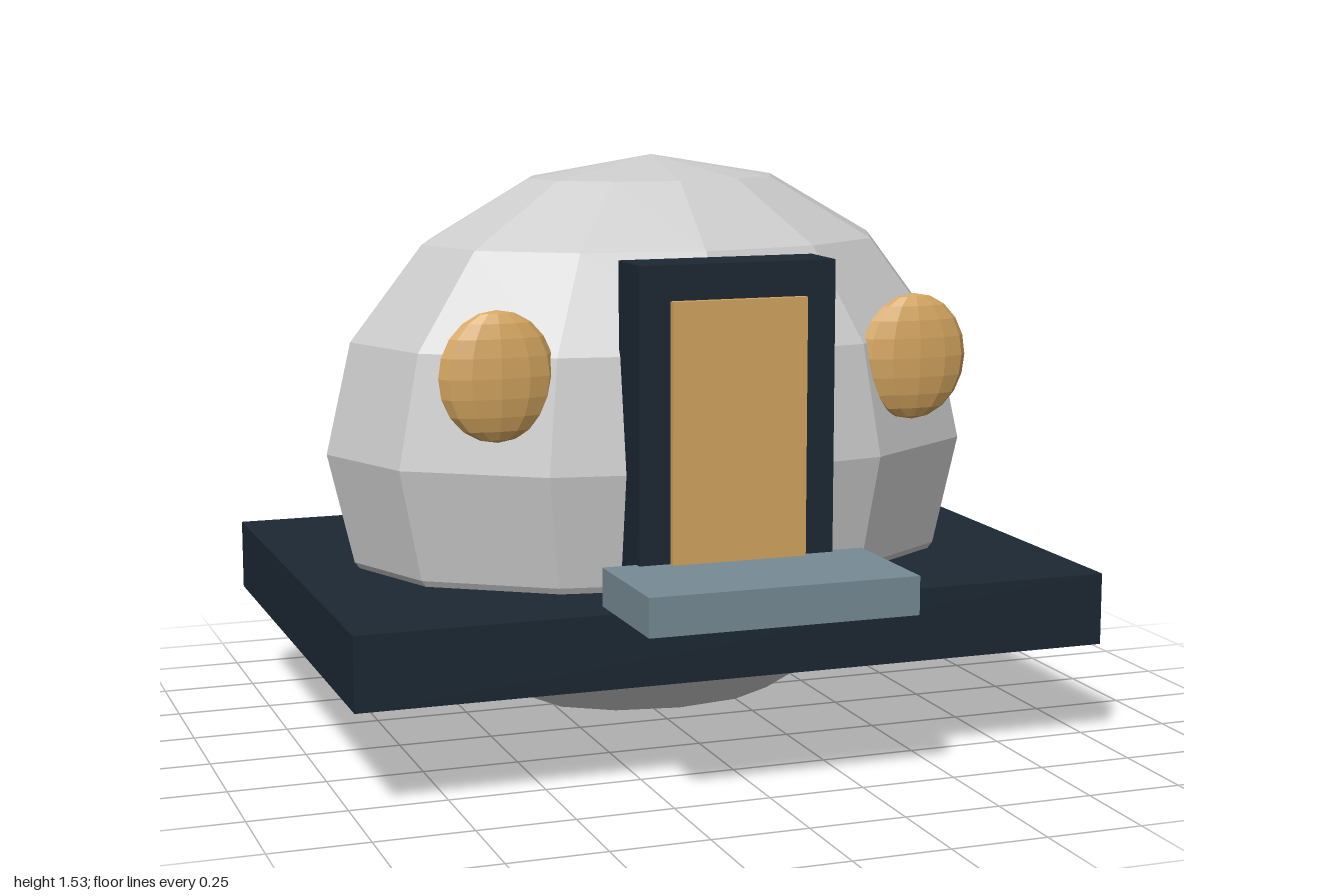
import * as THREE from 'three';

const material = (color) => new THREE.MeshStandardMaterial({ color, flatShading: true });

export function createModel() {
  const model = new THREE.Group();
  model.name = 'domeHouse';
  const grey = material(0xcccccc);
  const dark = material(0x1c2833);
  const wood = material(0xd4a560);
  const stone = material(0x778a94);

  const add = (name, geometry, mat, x, y, z) => {
    const mesh = new THREE.Mesh(geometry, mat);
    mesh.name = name;
    mesh.position.set(x, y, z);
    model.add(mesh);
    return mesh;
  };
  // Box given by half width and its y and z ranges, centred on x = 0
  const block = (name, mat, halfW, y0, y1, z0, z1) =>
    add(name, new THREE.BoxGeometry(halfW * 2, y1 - y0, z1 - z0), mat, 0, (y0 + y1) / 2, (z0 + z1) / 2);

  // Faceted ellipsoid body, passing through the base slab
  add('dome', new THREE.SphereGeometry(1, 12, 8).scale(0.9, 0.766, 0.6), grey, 0, 0.768, -0.13);

  // Ground slab and front step
  block('base', dark, 1, 0.268, 0.458, -0.85, 0.59);
  block('step', stone, 0.35, 0.458, 0.556, 0.5, 0.85);

  // Entrance
  block('doorFrame', dark, 0.26, 0.458, 1.302, 0.367, 0.52);
  block('door', wood, 0.178, 0.47, 1.213, 0.5, 0.54);

  // Bulging oval windows on both sides of the door
  const pane = new THREE.SphereGeometry(1, 12, 10).scale(0.15, 0.166, 0.047);
  for (const side of [1, -1]) {
    add(side > 0 ? 'leftWindow' : 'rightWindow', pane, wood, side * 0.566, 1.02, 0.33);
  }
  return model;
}
